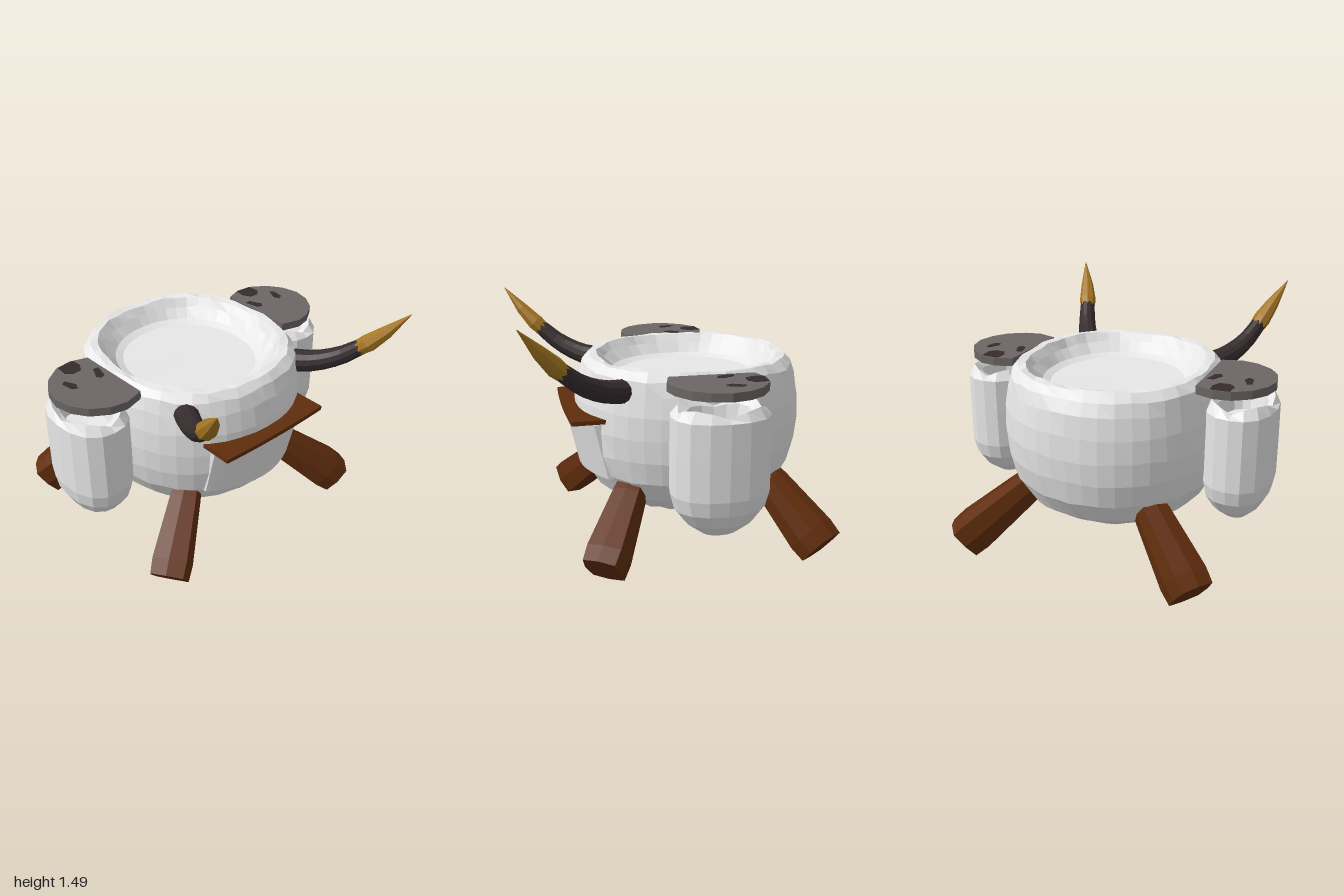
import * as THREE from 'three';

const mat = (name, color) => {
  const m = new THREE.MeshStandardMaterial({ color });
  m.name = name;
  return m;
};

// Small seeded noise in -1..1
function noise(seed) {
  let s = seed;
  return () => {
    s = (s * 16807) % 2147483647;
    return (s / 2147483647) * 2 - 1;
  };
}

// Faceted skin over rings of equal length, running along the outward-facing axis
function loft(rings) {
  const pos = [];
  const tri = (a, b, c) => {
    if (a.distanceTo(b) < 1e-5 || b.distanceTo(c) < 1e-5 || a.distanceTo(c) < 1e-5) return;
    for (const p of [a, b, c]) pos.push(p.x, p.y, p.z);
  };
  for (let i = 0; i < rings.length - 1; i++) {
    const n = rings[i].length;
    for (let j = 0; j < n; j++) {
      const k = (j + 1) % n;
      const a = rings[i][j], b = rings[i][k], c = rings[i + 1][k], d = rings[i + 1][j];
      tri(a, b, d);
      tri(c, d, b);
    }
  }
  const g = new THREE.BufferGeometry();
  g.setAttribute('position', new THREE.Float32BufferAttribute(pos, 3));
  g.computeVertexNormals();
  return g;
}

// Horizontal rounded ring; power 2 is an ellipse, higher is squarer
function flatRing(n, cx, y, cz, rx, rz, power) {
  return Array.from({ length: n }, (_, j) => {
    const a = (j / n) * Math.PI * 2, s = Math.sin(a), c = Math.cos(a);
    const k = Math.pow(Math.abs(s) ** power + Math.abs(c) ** power, -1 / power);
    return new THREE.Vector3(cx + rx * s * k, y, cz + rz * c * k);
  });
}

// Solid tapered limb through points with a radius at each, kept level and closed at both ends
function limb(points, radii, sides, power = 2) {
  const up = new THREE.Vector3(0, 1, 0);
  const rings = points.map((p, i) => {
    const dir = points[Math.min(i + 1, points.length - 1)].clone()
      .sub(points[Math.max(i - 1, 0)]).normalize();
    const right = up.clone().cross(dir).normalize();
    const basis = new THREE.Matrix4().makeBasis(right, dir, right.clone().cross(dir));
    return flatRing(sides, 0, 0, 0, radii[i], radii[i], power)
      .map(v => v.applyMatrix4(basis).add(p));
  });
  const cap = p => Array.from({ length: sides }, () => p.clone());
  return loft([cap(points[0]), ...rings, cap(points[points.length - 1])]);
}

// Box whose vertices are moved by a rule
function bentBox(w, h, d, rule) {
  const g = new THREE.BoxGeometry(w, h, d, 10, 1, 1);
  const p = g.attributes.position, v = new THREE.Vector3();
  for (let i = 0; i < p.count; i++) {
    rule(v.fromBufferAttribute(p, i));
    p.setXYZ(i, v.x, v.y, v.z);
  }
  g.computeVertexNormals();
  return g;
}

export function createModel() {
  const white = mat('pale wool', 0xe8e8e8);
  const wood = mat('brown wood', 0x602d0d);
  const dark = mat('dark horn', 0x362c2e);
  const gold = mat('gold tip', 0xa67722);
  const grey = mat('grey lid', 0x6c6666);
  const model = new THREE.Group();
  model.name = 'hornedBasin';
  const V = (x, y, z) => new THREE.Vector3(x, y, z);
  const add = (name, geo, material, parent = model) => {
    const m = new THREE.Mesh(geo, material);
    m.name = name;
    parent.add(m);
    return m;
  };

  // Round body with a ragged rim and shallow bowl
  const rnd = noise(77);
  const profile = [
    [0, 0.237], [0.28, 0.238], [0.42, 0.275], [0.545, 0.365], [0.625, 0.5], [0.658, 0.64],
    [0.668, 0.78], [0.662, 0.92], [0.643, 1.04], [0.61, 1.12], [0.57, 1.167],
    [0.525, 1.165], [0.49, 1.115], [0.445, 1.055], [0.4, 1.035], [0, 1.03],
  ];
  add('body', loft(profile.map(([r, y], i) => {
    const rim = i >= 9 && i <= 12;
    const amount = r === 0 || i > 12 ? 0 : 0.004;
    return flatRing(44, 0, y, -0.15, r, r * 1.055, rim ? 2.3 : 2.1).map(v => {
      const k = 1 + rnd() * amount * (rim ? 3 : 1);
      v.x *= k;
      v.z = -0.15 + (v.z + 0.15) * k;
      v.y += i > 1 ? rnd() * amount * 1.8 : 0;
      return v;
    });
  })), white);

  // Front panel, curved around the body and leaning out at the top
  add('frontPanel', bentBox(0.73, 0.345, 0.16, v => {
    v.z += v.y * 0.23 - 0.125 * (v.x / 0.365) ** 2;
  }), white).position.set(0, 0.66, 0.496);

  // Ledge above the panel, slightly bowed
  add('frontLedge', bentBox(0.79, 0.026, 0.2, v => {
    v.z -= 0.012 * (v.x / 0.395) ** 2;
  }), wood).position.set(0, 0.858, 0.535);

  for (const s of [1, -1]) {
    const side = s > 0 ? 'left' : 'right';

    // Splayed square-hewn legs, front and back
    for (const f of [1, -1]) {
      const p = (x, y, z) => V(s * x, y, -0.15 + f * (z + 0.15));
      add(side + (f > 0 ? 'FrontLeg' : 'BackLeg'), limb(
        [p(0.34, 0.48, 0.235), p(0.43, 0.397, 0.297), p(0.68, 0.155, 0.465), p(0.743, 0.094, 0.508)],
        [0.08, 0.095, 0.124, 0.118], 8, 4), wood);
    }

    // Curved horn with a gold tip
    const horn = new THREE.Group();
    horn.name = side + 'Horn';
    model.add(horn);
    const curve = new THREE.CatmullRomCurve3([
      V(s * 0.427, 1.045, 0.308), V(s * 0.505, 1.073, 0.45),
      V(s * 0.58, 1.14, 0.585), V(s * 0.64, 1.25, 0.715)]);
    const pts = curve.getPoints(7);
    add('hornBase', limb(pts, pts.map((_, i) => 0.074 - i * 0.0037), 12), dark, horn);
    add('hornTip', limb(
      [V(s * 0.625, 1.22, 0.683), V(s * 0.645, 1.262, 0.727), V(s * 0.69, 1.355, 0.812), V(s * 0.755, 1.49, 0.92)],
      [0.05, 0.057, 0.041, 0.002], 8), gold, horn);

    // Side jar with a rounded base and a peaked, hollow mouth, sunk into the body
    const jar = [
      [0, 0.29, 0], [0.35, 0.3, 0], [0.7, 0.375, 0], [0.92, 0.46, 0], [1, 0.55, 0],
      [1, 0.78, 0], [0.99, 0.99, 0], [0.84, 1.008, 0.045], [0.66, 0.99, 0.02], [0.55, 0.9, 0], [0, 0.89, 0],
    ];
    add(side + 'Jar', loft(jar.map(([r, y, peak]) =>
      flatRing(16, s * 0.794, y, -0.145, 0.204 * r, 0.283 * r, 2.35).map((v, j) => {
        v.y += peak * Math.abs(Math.sin((j / 16) * Math.PI * 4));
        return v;
      }))), white);

    // Flat-sided lid with three dark spots
    const lid = new THREE.Group();
    lid.name = side + 'Lid';
    model.add(lid);
    const plate = (points, depth, y, name, material) => {
      const shape = new THREE.Shape(points.map(([x, z]) => new THREE.Vector2(s * x, -z)));
      const g = new THREE.ExtrudeGeometry(shape, { depth, bevelEnabled: false });
      g.rotateX(-Math.PI / 2);
      g.translate(0, y, 0);
      add(name, g, material, lid);
    };
    plate([[0.59, -0.4], [0.7, -0.435], [0.8, -0.42], [0.9, -0.35], [0.96, -0.26], [0.985, -0.15],
      [0.96, -0.04], [0.9, 0.05], [0.8, 0.115], [0.7, 0.135], [0.58, 0.1]], 0.05, 1.107, 'lidPlate', grey);
    plate([[0.68, -0.425], [0.79, -0.418], [0.795, -0.34], [0.76, -0.305], [0.7, -0.31], [0.675, -0.36]],
      0.004, 1.156, 'backSpot', dark);
    plate([[0.61, -0.265], [0.645, -0.265], [0.678, -0.19], [0.66, -0.16], [0.628, -0.178]],
      0.004, 1.156, 'innerSpot', dark);
    plate([[0.845, -0.27], [0.87, -0.25], [0.858, -0.178], [0.825, -0.16], [0.81, -0.2]],
      0.004, 1.156, 'outerSpot', dark);
  }
  return model;
}
